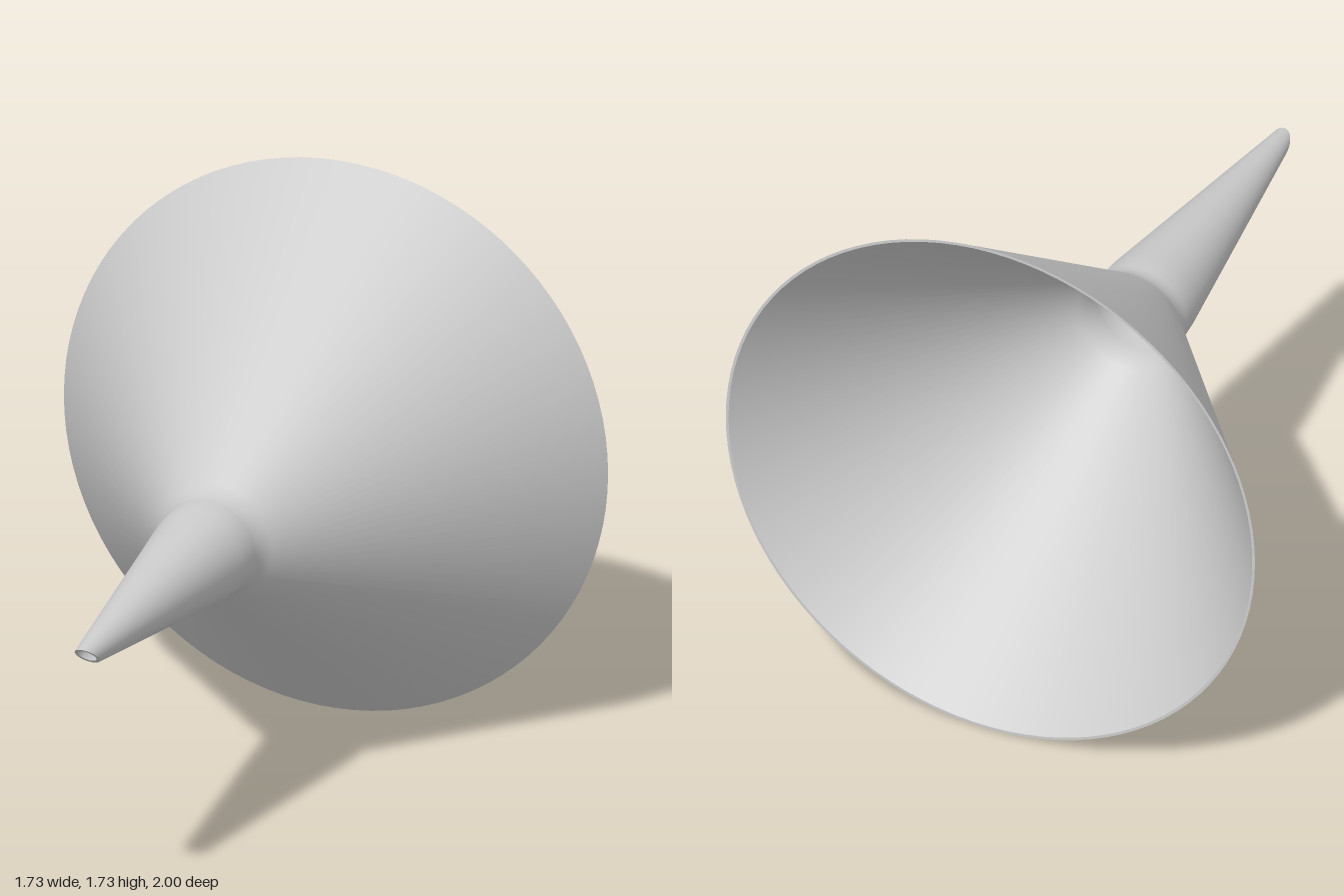
import * as THREE from 'three';

const RIM = 0.864;      // radius of the wide mouth, also the height of the axis
const WALL = 0.009;     // wall thickness
const TIP = 0.961;      // where the slanted cut crosses the axis
const CUT = 1.286;      // slope of the cut
const TAPER = 0.13;     // narrowing of the spout per unit length
const SEGMENTS = 96;

// Outer profile from the mouth to the tip: (radius, distance along the axis)
function profile(inset) {
  const pts = [new THREE.Vector2(RIM - inset, -1), new THREE.Vector2(0.184 - inset, -0.065)];
  for (let i = 0; i <= 8; i++) {           // rounded throat
    const a = 0.628 * (1 - i / 8);
    pts.push(new THREE.Vector2(0.152 + 0.131 * (1 - Math.cos(a)) - inset, 0.021 - 0.131 * Math.sin(a)));
  }
  for (const [r, h] of [[0.1515, 0.042], [0.1495, 0.062], [0.147, 0.099], [0.035, TIP]]) {
    pts.push(new THREE.Vector2(r - inset, h));
  }
  return pts;
}

// Revolves a profile and slides the vertices of the tip along the taper onto the slanted cut
function revolve(points) {
  const geo = new THREE.LatheGeometry(points, SEGMENTS);
  const p = geo.attributes.position;
  for (let i = 0; i < p.count; i++) {
    if (Math.abs(p.getY(i) - TIP) > 1e-4) continue;
    const r0 = Math.hypot(p.getX(i), p.getZ(i));
    const c = p.getX(i) / r0, s = -p.getZ(i) / r0;
    const r = r0 / (1 + TAPER * CUT * s);
    p.setXYZ(i, r * c, TIP + CUT * r * s, -r * s);
  }
  return geo.rotateX(Math.PI / 2);
}

export function createModel() {
  const group = new THREE.Group();
  group.name = 'funnel';
  const material = new THREE.MeshStandardMaterial({ color: 0xcccccc, side: THREE.DoubleSide });
  const outer = profile(0);
  const inner = profile(WALL).reverse();

  const add = (name, geo) => {
    const mesh = new THREE.Mesh(geo, material);
    mesh.name = name;
    mesh.position.y = RIM;
    group.add(mesh);
  };

  // Outer and inner walls
  add('outerWall', revolve(outer));
  add('innerWall', revolve(inner));

  // Flat edges closing the wall at the mouth and at the slanted tip
  add('mouthRim', revolve([inner[inner.length - 1], outer[0]]));
  const tipEdge = revolve([outer[outer.length - 1], inner[0]]);
  tipEdge.computeVertexNormals();
  add('tipEdge', tipEdge);

  return group;
}
